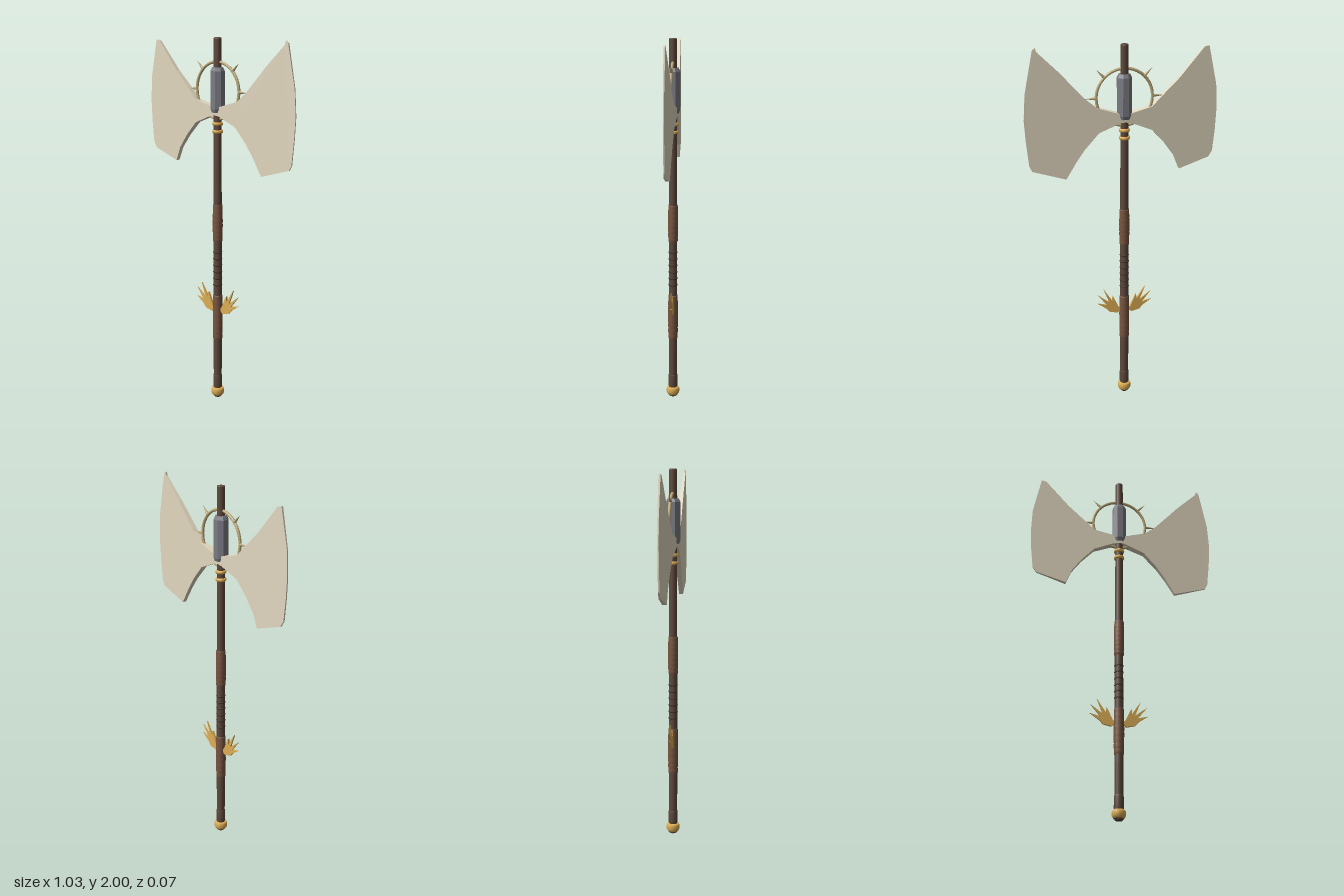
import * as THREE from 'three';

const AXIS = -0.015; // x of the haft
const mat = (color, flatShading = false) => new THREE.MeshStandardMaterial({ color, flatShading });

export function createModel() {
  const root = new THREE.Group();
  const wood = mat(0x5e493d), leather = mat(0x7a5641), cord = mat(0x46362d);
  const gold = mat(0xdeae55), iron = mat(0x7c7d84, true), steel = mat(0xe2d8c0, true), brass = mat(0xbfac7c);

  const add = (name, geometry, material, parent = root) => {
    const mesh = new THREE.Mesh(geometry, material);
    mesh.name = name;
    parent.add(mesh);
    return mesh;
  };
  // turned part from [radius, height] pairs
  const turned = (name, profile, material, sides = 16) => {
    const pts = profile.map(([r, y]) => new THREE.Vector2(r, y));
    const mesh = add(name, new THREE.LatheGeometry(pts, sides), material);
    mesh.position.x = AXIS;
    mesh.rotation.y = Math.PI / sides;
    return mesh;
  };
  const shapeOf = (pts) => new THREE.Shape(pts.map(([x, y]) => new THREE.Vector2(x, y)));
  // plate whose half thickness depends on x
  const plate = (pts, halfThickness) => {
    const g = new THREE.ExtrudeGeometry(shapeOf(pts), { depth: 1, bevelEnabled: false });
    const p = g.attributes.position;
    for (let i = 0; i < p.count; i++) p.setZ(i, (p.getZ(i) > 0.5 ? 1 : -1) * halfThickness(p.getX(i)));
    g.computeVertexNormals();
    return g;
  };

  // haft
  turned('haft', [[0.022, 0.005], [0.0235, 0.3], [0.0225, 1.1], [0.021, 1.6], [0.021, 1.996]], wood);
  turned('haftTip', [[0.021, 1.996], [0.018, 2], [0, 2]], wood);
  turned('buttSleeve', [[0.022, 0.055], [0.0255, 0.065], [0.0255, 0.125], [0.022, 0.135]], wood);
  turned('pommelBase', [[0, 0], [0.018, 0.002], [0.026, 0.012]], wood);
  turned('pommel', [[0, 0.011], [0.028, 0.012], [0.036, 0.026], [0.036, 0.046], [0.031, 0.057], [0, 0.058]], gold);

  // leather grips with shallow wrapped ridges
  for (const [name, lo, hi] of [['lowerGrip', 0.345, 0.6], ['upperGrip', 0.905, 1.11]]) {
    const profile = [[0.021, lo]], n = 8, h = (hi - lo) / n;
    for (let i = 0; i < n; i++) {
      const y = lo + h * i;
      const r = 0.0255 + 0.0025 * Math.sin(Math.PI * (i + 0.5) / n);
      profile.push([r, y + h * 0.15], [r, y + h * 0.85], [r - 0.001, y + h]);
    }
    profile.push([0.021, hi]);
    turned(name, profile, leather);
  }

  // cord rings in the middle of the haft
  for (let i = 0; i < 6; i++) {
    const ring = add('cordRing', new THREE.TorusGeometry(0.021, 0.005, 6, 16), cord);
    ring.rotation.x = Math.PI / 2;
    ring.position.set(AXIS, 0.66 + i * 0.037, 0);
  }

  // two slim collar rings under the head
  for (const y of [1.508, 1.55]) {
    turned('collarRing', [[0.02, y - 0.009], [0.027, y - 0.008], [0.03, y], [0.027, y + 0.008], [0.02, y + 0.009]], gold);
  }

  // eight-sided hub
  turned('hub', [[0, 1.61], [0.034, 1.61], [0.04, 1.628], [0.04, 1.828], [0.031, 1.847], [0, 1.847]], iron, 8);

  // blades, thick at the haft and thin at the cutting edge
  const taper = (x) => 0.003 + 0.021 * Math.max(0, 1 - Math.abs(x - AXIS) / 0.51);
  const left = [
    [AXIS, 1.595], [0.01, 1.592], [0.124, 1.545], [0.2, 1.46], [0.245, 1.395], [0.3, 1.304],
    [0.478, 1.357], [0.492, 1.385], [0.506, 1.52], [0.513, 1.63], [0.504, 1.767], [0.46, 1.988],
    [0.445, 2], [0.44, 1.98], [0.325, 1.868], [0.193, 1.724], [0.135, 1.677], [0.01, 1.64], [AXIS, 1.636]];
  const right = [
    [AXIS, 1.636], [-0.04, 1.64], [-0.16, 1.67], [-0.204, 1.714], [-0.31, 1.815], [-0.442, 1.968],
    [-0.468, 1.974], [-0.512, 1.767], [-0.518, 1.635], [-0.512, 1.52], [-0.5, 1.405], [-0.479, 1.373],
    [-0.315, 1.32], [-0.285, 1.395], [-0.23, 1.47], [-0.16, 1.545], [-0.055, 1.587], [AXIS, 1.595]];
  add('leftBlade', plate(left, taper), steel);
  add('rightBlade', plate(right, taper), steel);

  // spiked ring around the hub
  const halo = new THREE.Group();
  halo.name = 'spikedRing';
  halo.position.set(AXIS, 1.725, 0);
  root.add(halo);
  add('ring', new THREE.TorusGeometry(0.15, 0.008, 8, 40), brass, halo);
  for (const a of [0, 1, 3, 4].map((k) => k * Math.PI / 4)) {
    const spike = add('spike', new THREE.ConeGeometry(0.009, 0.062, 8), brass, halo);
    spike.position.set(Math.cos(a) * 0.181, Math.sin(a) * 0.181, 0);
    spike.rotation.z = a - Math.PI / 2;
  }

  // feathered wings on the lower grip
  const wing = [
    [0.018, 0.52], [0.04, 0.5], [0.085, 0.51], [0.105, 0.532], [0.155, 0.566], [0.1, 0.552],
    [0.152, 0.616], [0.087, 0.567], [0.118, 0.648], [0.07, 0.575], [0.066, 0.605], [0.045, 0.56], [0.034, 0.535]];
  for (const s of [1, -1]) {
    const pts = wing.map(([x, y]) => [s * x, y]);
    const mesh = add(s > 0 ? 'leftWing' : 'rightWing', plate(pts, (x) => 0.008 - 0.035 * Math.abs(x)), gold);
    mesh.position.x = AXIS;
  }
  return root;
}
